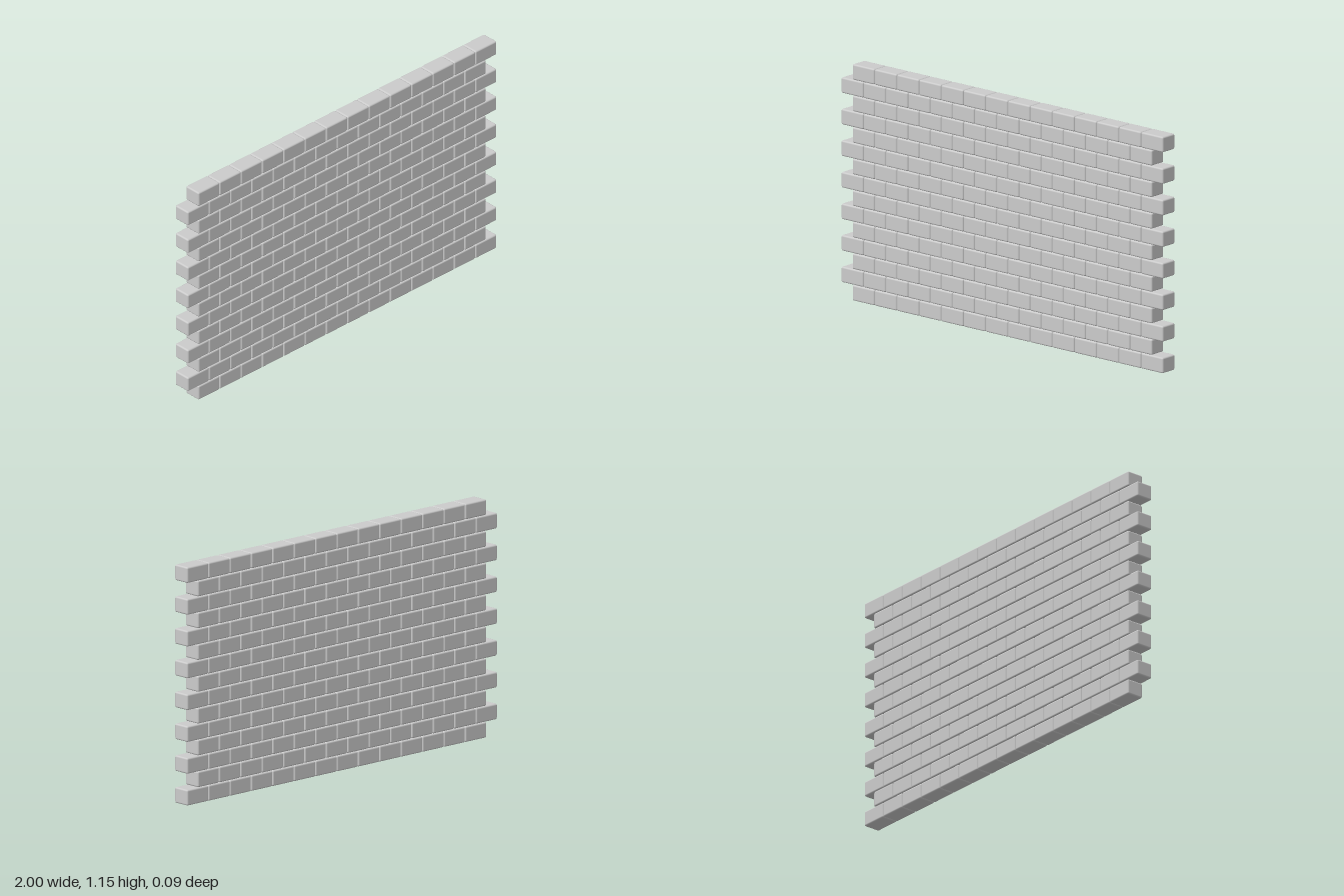
import * as THREE from 'three';
import { RoundedBoxGeometry } from 'three/addons/geometries/RoundedBoxGeometry.js';

const ROWS = 15, PER_ROW = 14;
const GAP = 0.001;                       // thin joint between bricks
const PITCH_X = (2 + GAP) / (PER_ROW + 0.5); // rows overlap by half a brick
const PITCH_Y = 0.077;
const DEPTH = 0.088;

export function createModel() {
  const wall = new THREE.Group();
  wall.name = 'brickWall';

  const material = new THREE.MeshStandardMaterial({ color: 0xcccccc });
  const brickGeometry = new RoundedBoxGeometry(PITCH_X - GAP, PITCH_Y - GAP, DEPTH, 2, 0.008);

  // Running bond: the bottom row and every second one above sit half a brick to +x
  for (let r = 0; r < ROWS; r++) {
    const row = new THREE.Group();
    row.name = `brickRow${r + 1}`;
    row.position.y = r * PITCH_Y + (PITCH_Y - GAP) / 2;
    const start = -1 + (PITCH_X - GAP) / 2 + (r % 2 === 0 ? PITCH_X / 2 : 0);
    for (let i = 0; i < PER_ROW; i++) {
      const brick = new THREE.Mesh(brickGeometry, material);
      brick.name = 'brick';
      brick.position.x = start + i * PITCH_X;
      row.add(brick);
    }
    wall.add(row);
  }
  return wall;
}
